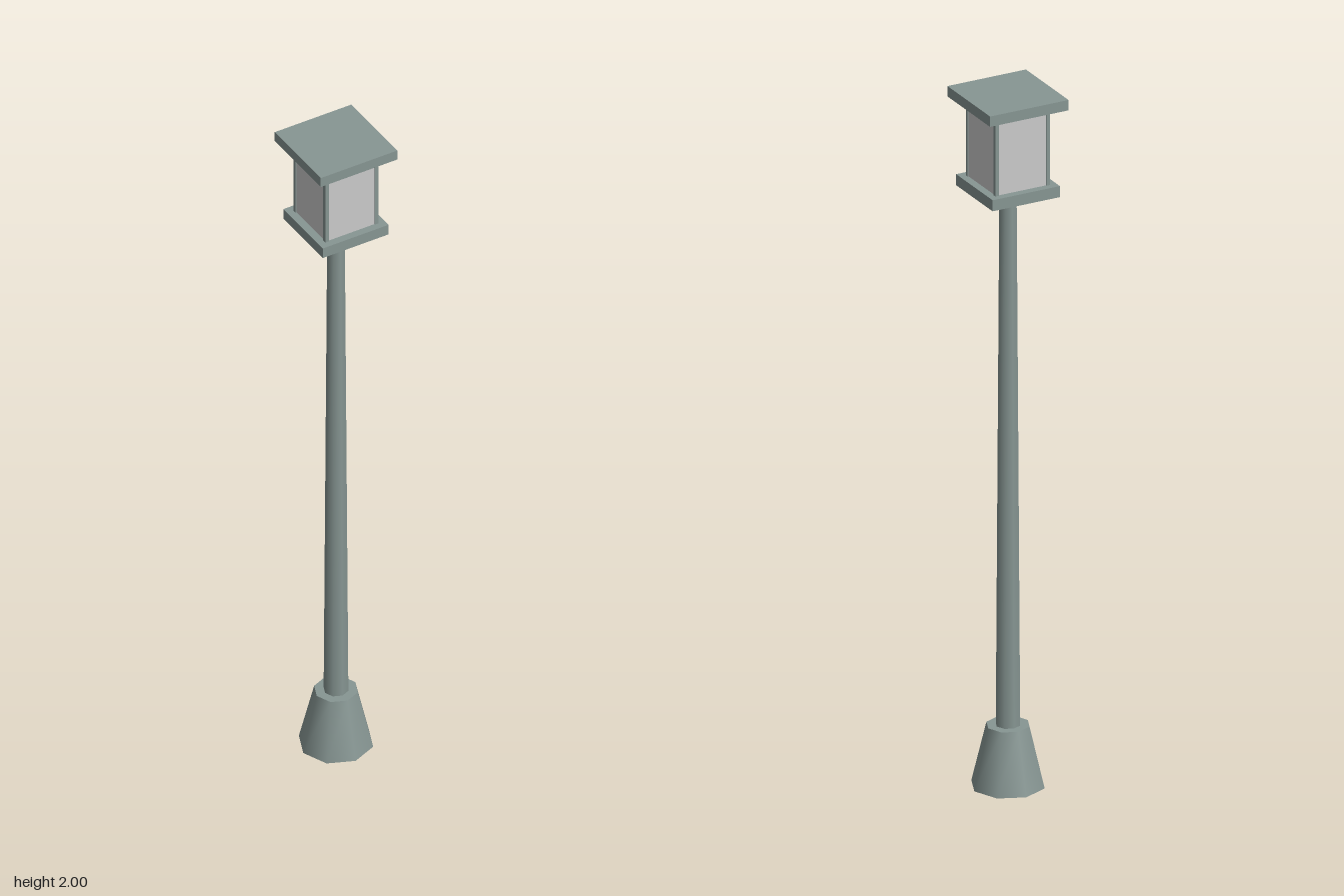
import * as THREE from 'three';

const metal = new THREE.MeshStandardMaterial({ color: 0x879693 });
metal.name = 'greenGreyMetal';
const glass = new THREE.MeshStandardMaterial({ color: 0xcbcbcb });
glass.name = 'paleGlass';

export function createModel() {
  const model = new THREE.Group();
  model.name = 'streetLamp';

  const add = (name, geometry, material, y, x = 0, z = 0, parent = model) => {
    const mesh = new THREE.Mesh(geometry, material);
    mesh.name = name;
    mesh.position.set(x, y, z);
    parent.add(mesh);
    return mesh;
  };
  // Square slab between two heights
  const slab = (half, y0, y1) => new THREE.BoxGeometry(half * 2, y1 - y0, half * 2);

  // Flared foot and slim tapering pole
  add('base', new THREE.CylinderGeometry(0.06, 0.102, 0.174, 8), metal, 0.087);
  add('pole', new THREE.CylinderGeometry(0.024, 0.034, 1.55, 8), metal, 0.945);

  // Lantern: tray, glass block, corner posts and flat roof
  const lantern = new THREE.Group();
  lantern.name = 'lantern';
  model.add(lantern);
  add('tray', slab(0.102, 1.716, 1.748), metal, 1.732, 0, 0, lantern);
  add('glassBlock', slab(0.08, 1.748, 1.97), glass, 1.859, 0, 0, lantern);
  const post = new THREE.BoxGeometry(0.011, 0.222, 0.011);
  for (const x of [-1, 1]) {
    for (const z of [-1, 1]) add('cornerPost', post, metal, 1.859, x * 0.0775, z * 0.0775, lantern);
  }
  add('roof', slab(0.119, 1.97, 2), metal, 1.985, 0, 0, lantern);

  return model;
}
